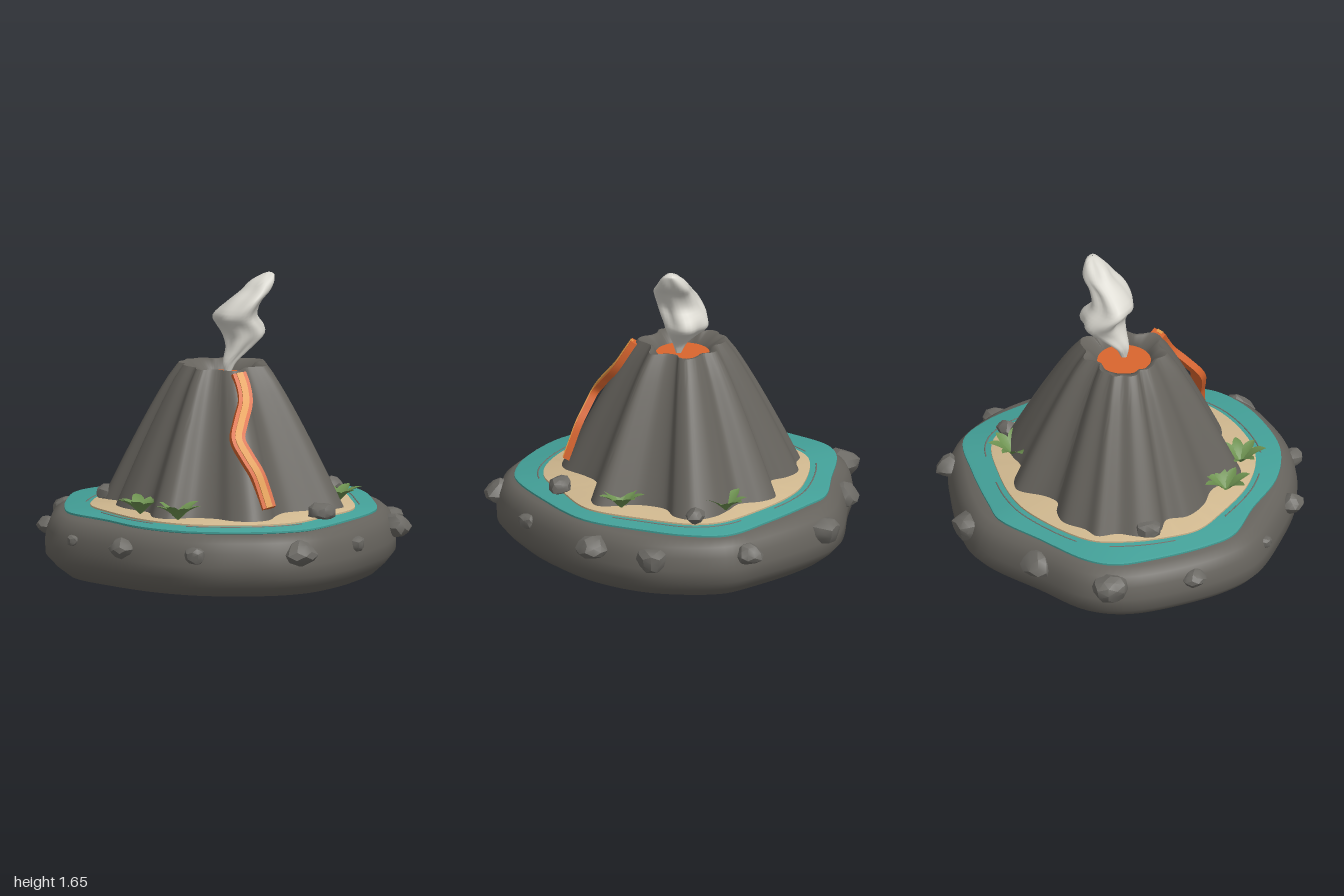
import * as THREE from 'three';
import { toCreasedNormals } from 'three/addons/utils/BufferGeometryUtils.js';

const V = (x, y, z) => new THREE.Vector3(x, y, z);
const mat = (name, color) => {
  const m = new THREE.MeshStandardMaterial({ color });
  m.name = name;
  return m;
};

// Closed smooth curve through x, z pairs, running back, right, front, left
const outline = (xz) => {
  const pts = [];
  for (let i = 0; i < xz.length; i += 2) pts.push(V(xz[i], 0, xz[i + 1]));
  return new THREE.CatmullRomCurve3(pts, true);
};
const sample = (curve, n) => curve.getPoints(n).slice(0, n);
const ring = (pts, k, y, cx = 0, cz = 0) => pts.map((p) => V(cx + (p.x - cx) * k, y, cz + (p.z - cz) * k));

// Skin over a stack of closed rings with equal point counts
function loft(rings, crease = 0.8) {
  const n = rings[0].length, pos = [], index = [];
  rings.forEach((r) => r.forEach((p) => pos.push(p.x, p.y, p.z)));
  for (let i = 0; i < rings.length - 1; i++) {
    for (let j = 0; j < n; j++) {
      const k = (j + 1) % n, a = i * n + j, b = i * n + k, c = b + n, d = a + n;
      index.push(a, d, b, b, d, c);
    }
  }
  const g = new THREE.BufferGeometry();
  g.setAttribute('position', new THREE.Float32BufferAttribute(pos, 3));
  g.setIndex(index);
  return toCreasedNormals(g, crease);
}

// Ribbon with thickness that follows an upward path
function ribbon(curve, width, back, front) {
  const rings = [], n = V(0, 0.45, 0.89), steps = 40;
  for (let i = 0; i <= steps; i++) {
    const p = curve.getPoint(i / steps);
    const side = curve.getTangent(i / steps).cross(n).normalize();
    const at = (s, d) => p.clone().addScaledVector(side, s * width / 2).addScaledVector(n, d);
    const r = [at(-1, back), at(1, back), at(1, front), at(-1, front)];
    if (i === 0) rings.push(r.map(() => p.clone()));
    rings.push(r);
    if (i === steps) rings.push(r.map(() => p.clone()));
  }
  return loft(rings, 0.6);
}

// Irregular boulder, lumpy by a position rule
function boulderGeometry(seed) {
  const g = new THREE.IcosahedronGeometry(1, 1), p = g.attributes.position;
  for (let i = 0; i < p.count; i++) {
    const v = V().fromBufferAttribute(p, i);
    v.multiplyScalar(1 + 0.13 * Math.sin(v.x * 3.1 + seed * 2) * Math.cos(v.z * 3.7 + seed) + 0.07 * Math.sin(v.y * 5 + seed * 3));
    p.setXYZ(i, v.x, v.y, v.z);
  }
  return toCreasedNormals(g, 0.55);
}

// Pointed, arching, folded leaf along +x
function leafGeometry() {
  const g = new THREE.PlaneGeometry(1, 1, 7, 2), p = g.attributes.position;
  for (let i = 0; i < p.count; i++) {
    const t = p.getX(i) + 0.5, s = p.getY(i) * 2;
    const w = 0.033 * Math.pow(Math.sin(Math.PI * Math.pow(t, 0.85)), 0.8) + 0.003 * (1 - t);
    p.setXYZ(i, 0.14 * t, 0.15 * t - 0.06 * t * t + 0.012 * Math.abs(s) * Math.sin(Math.PI * t), -s * w);
  }
  g.computeVertexNormals();
  return g;
}

export function createModel() {
  const model = new THREE.Group();
  model.name = 'volcanoIsland';
  const rock = mat('rock', 0x66635d), stone = mat('stone', 0x6b6964), water = mat('water', 0x43a098);
  const sand = mat('sand', 0xd0b88f), lava = mat('lava', 0xd9652e), glow = mat('glowingLava', 0xe29a45);
  const smokeMat = mat('smoke', 0xd8d6ce), ripple = mat('ripple', 0x76706a), leafMat = mat('leaf', 0x6d9150);
  leafMat.side = THREE.DoubleSide;
  const add = (name, geometry, material, parent = model) => {
    const m = new THREE.Mesh(geometry, material);
    m.name = name;
    parent.add(m);
    return m;
  };

  // Rocky base
  const basePts = sample(outline([-0.53, -0.92, -0.2, -0.95, 0.22, -0.97, 0.43, -0.87, 0.72, -0.64, 0.87, -0.48,
    0.93, -0.19, 0.91, 0.05, 0.78, 0.35, 0.56, 0.61, 0.38, 0.77, 0.16, 0.9, -0.05, 0.93, -0.26, 0.88,
    -0.5, 0.77, -0.71, 0.56, -0.87, 0.27, -0.99, -0.05, -0.98, -0.24, -0.9, -0.48, -0.73, -0.78]), 120);
  add('rockyBase', loft([[0, 0], [0.57, 0], [0.885, 0.035], [0.95, 0.085], [1, 0.14], [1.003, 0.21], [0.99, 0.28],
    [0.965, 0.335], [0.92, 0.368], [0.86, 0.376], [0, 0.376]].map(([k, y]) => ring(basePts, k, y))), rock);

  // Lagoon and beach
  const waterPts = sample(outline([-0.48, -0.845, -0.15, -0.87, 0.14, -0.88, 0.28, -0.81, 0.56, -0.64, 0.8, -0.45,
    0.835, -0.24, 0.79, 0.03, 0.69, 0.35, 0.43, 0.61, 0.14, 0.81, -0.02, 0.83, -0.2, 0.8, -0.5, 0.66,
    -0.69, 0.43, -0.79, 0.13, -0.89, -0.13, -0.86, -0.3, -0.74, -0.58, -0.62, -0.77]), 120);
  add('lagoon', loft([[0.97, 0.37], [1, 0.378], [1, 0.388], [0.985, 0.393], [0, 0.393]].map(([k, y]) => ring(waterPts, k, y))), water);
  const beach = outline([-0.37, -0.71, 0.03, -0.74, 0.22, -0.69, 0.43, -0.57, 0.64, -0.4, 0.7, -0.24, 0.66, 0.03,
    0.56, 0.35, 0.32, 0.53, 0.14, 0.65, -0.02, 0.675, -0.26, 0.62, -0.47, 0.5, -0.63, 0.27, -0.71, -0.03,
    -0.73, -0.24, -0.66, -0.4, -0.53, -0.58]);
  const beachPts = sample(beach, 108);
  add('beach', loft([[1, 0.385], [1, 0.402], [0.99, 0.405], [0, 0.405]].map(([k, y]) => ring(beachPts, k, y))), sand);

  // Ripple lines around the beach
  [[0.01, 0.15], [0.2, 0.36], [0.5, 0.66], [0.7, 0.78], [0.88, 0.97]].forEach(([u0, u1]) => {
    const pts = [];
    for (let i = 0; i <= 14; i++) pts.push(beach.getPoint(u0 + (u1 - u0) * i / 14).multiplyScalar(1.045).setY(0.393));
    add('ripple', new THREE.TubeGeometry(new THREE.CatmullRomCurve3(pts), 40, 0.004, 5), ripple);
  });

  // Fluted cone with crater
  const cx = -0.035, cz = -0.075;
  const conePts = sample(outline([-0.38, -0.665, -0.29, -0.66, -0.155, -0.69, -0.06, -0.64, 0, -0.57, 0.085, -0.57,
    0.24, -0.63, 0.32, -0.57, 0.38, -0.45, 0.48, -0.41, 0.59, -0.35, 0.66, -0.24, 0.62, -0.13, 0.52, -0.07,
    0.48, 0.08, 0.53, 0.3, 0.46, 0.35, 0.3, 0.35, 0.165, 0.37, 0.085, 0.45, 0, 0.57, -0.1, 0.595, -0.2, 0.53,
    -0.26, 0.43, -0.37, 0.36, -0.5, 0.35, -0.56, 0.27, -0.53, 0.1, -0.6, -0.05, -0.61, -0.19, -0.55, -0.29,
    -0.6, -0.4, -0.55, -0.51, -0.45, -0.57]), 204);
  const coneRings = [];
  for (let i = 0; i <= 12; i++) {
    const s = i / 12;
    coneRings.push(ring(conePts, 0.38 + 0.62 * Math.pow(1 - s, 0.88), 0.395 + 0.755 * s, cx, cz));
  }
  coneRings.push(ring(conePts, 0.365, 1.162, cx, cz), ring(conePts, 0.335, 1.158, cx, cz));
  const circle = (r, y) => conePts.map((p) => {
    const a = Math.atan2(p.z - cz, p.x - cx);
    return V(cx + r * Math.cos(a), y, cz + r * Math.sin(a));
  });
  coneRings.push(circle(0.148, 1.115), circle(0.135, 1.07));
  add('volcanoCone', loft(coneRings, 1), rock);
  const pool = add('lavaPool', new THREE.CircleGeometry(0.147, 40), lava);
  pool.rotation.x = -Math.PI / 2;
  pool.position.set(cx, 1.105, cz);

  // Lava stream down the front, with a brighter core
  const stream = new THREE.CatmullRomCurve3([[0, 0.47, 0.56], [-0.02, 0.56, 0.53], [-0.045, 0.65, 0.5], [-0.09, 0.74, 0.46],
    [-0.125, 0.83, 0.415], [-0.09, 0.91, 0.36], [-0.035, 1.01, 0.285], [-0.03, 1.09, 0.235], [-0.04, 1.152, 0.195]]
    .map((p) => V(...p)));
  add('lavaStream', ribbon(stream, 0.078, -0.025, 0.012), lava);
  add('lavaCore', ribbon(stream, 0.036, 0, 0.017), glow);

  // Twisting smoke plume: y, x range, z range
  const levels = [[1.11, -0.03, 0, -0.07, -0.04], [1.17, -0.04, 0.03, -0.1, -0.02], [1.25, -0.015, 0.13, -0.17, 0],
    [1.31, -0.015, 0.21, -0.23, 0.01], [1.36, -0.04, 0.2, -0.23, 0.02], [1.42, -0.075, 0.16, -0.19, 0.04],
    [1.5, 0, 0.18, -0.16, 0.05], [1.56, 0.08, 0.23, -0.15, 0.03], [1.61, 0.13, 0.25, -0.12, 0.01],
    [1.645, 0.19, 0.25, -0.08, -0.02], [1.655, 0.22, 0.225, -0.05, -0.045]];
  const paths = [1, 2, 3, 4].map((c) => new THREE.CatmullRomCurve3(levels.map((l) => V(l[c], l[0], 0))));
  const smokeRings = [];
  for (let i = 0; i <= 36; i++) {
    const [x0, x1, z0, z1] = paths.map((p) => p.getPoint(i / 36));
    const r = [];
    for (let j = 0; j < 32; j++) {
      const a = j / 32 * Math.PI * 2, k = 0.98 + 0.11 * Math.sin(3 * a + i * 0.16) + 0.05 * Math.sin(5 * a - i * 0.3);
      r.push(V((x0.x + x1.x) / 2 + (x1.x - x0.x) / 2 * k * Math.cos(a), x0.y, (z0.x + z1.x) / 2 + (z1.x - z0.x) / 2 * k * Math.sin(a)));
    }
    smokeRings.push(r);
  }
  add('smokePlume', loft(smokeRings, 1.5), smokeMat);

  // Boulders around the base and on the beach: x, y, z, radius
  [[-0.64, 0.28, -0.84, 0.098], [-0.19, 0.27, -0.93, 0.09], [0.34, 0.27, -0.91, 0.09], [0.79, 0.28, -0.57, 0.075],
    [0.91, 0.265, -0.06, 0.085], [0.83, 0.28, 0.28, 0.085], [0.45, 0.27, 0.69, 0.055], [0.05, 0.27, 0.91, 0.09],
    [-0.5, 0.27, 0.76, 0.06], [-0.8, 0.275, 0.43, 0.07], [-0.94, 0.27, 0.065, 0.04], [-0.9, 0.27, -0.45, 0.065],
    [-0.54, 0.43, -0.44, 0.085], [0.655, 0.43, -0.255, 0.065], [0.31, 0.43, 0.54, 0.077]].forEach(([x, y, z, r], i) => {
    const b = add(y > 0.4 ? 'beachBoulder' : 'baseBoulder', boulderGeometry(i), stone);
    b.position.set(x, y, z);
    b.scale.set(r, y > 0.4 ? 0.047 : r * 0.78, r * (y > 0.4 ? 0.82 : 0.95));
    b.rotation.y = y > 0.4 ? 0 : -Math.atan2(z, x) + Math.PI / 2;
  });

  // Leafy plants
  const leaf = leafGeometry();
  [[0.49, -0.39], [0.53, 0.17], [-0.585, 0.14], [-0.46, 0.39]].forEach(([x, z], i) => {
    const plant = new THREE.Group();
    plant.name = 'plant';
    plant.position.set(x, 0.405, z);
    for (let j = 0; j < 7; j++) {
      const l = add('leaf', leaf, leafMat, plant);
      l.rotation.y = j * Math.PI * 2 / 7 + i * 0.7;
      l.scale.setScalar(0.92 + 0.08 * Math.sin(j * 2.3 + i));
    }
    model.add(plant);
  });
  return model;
}
